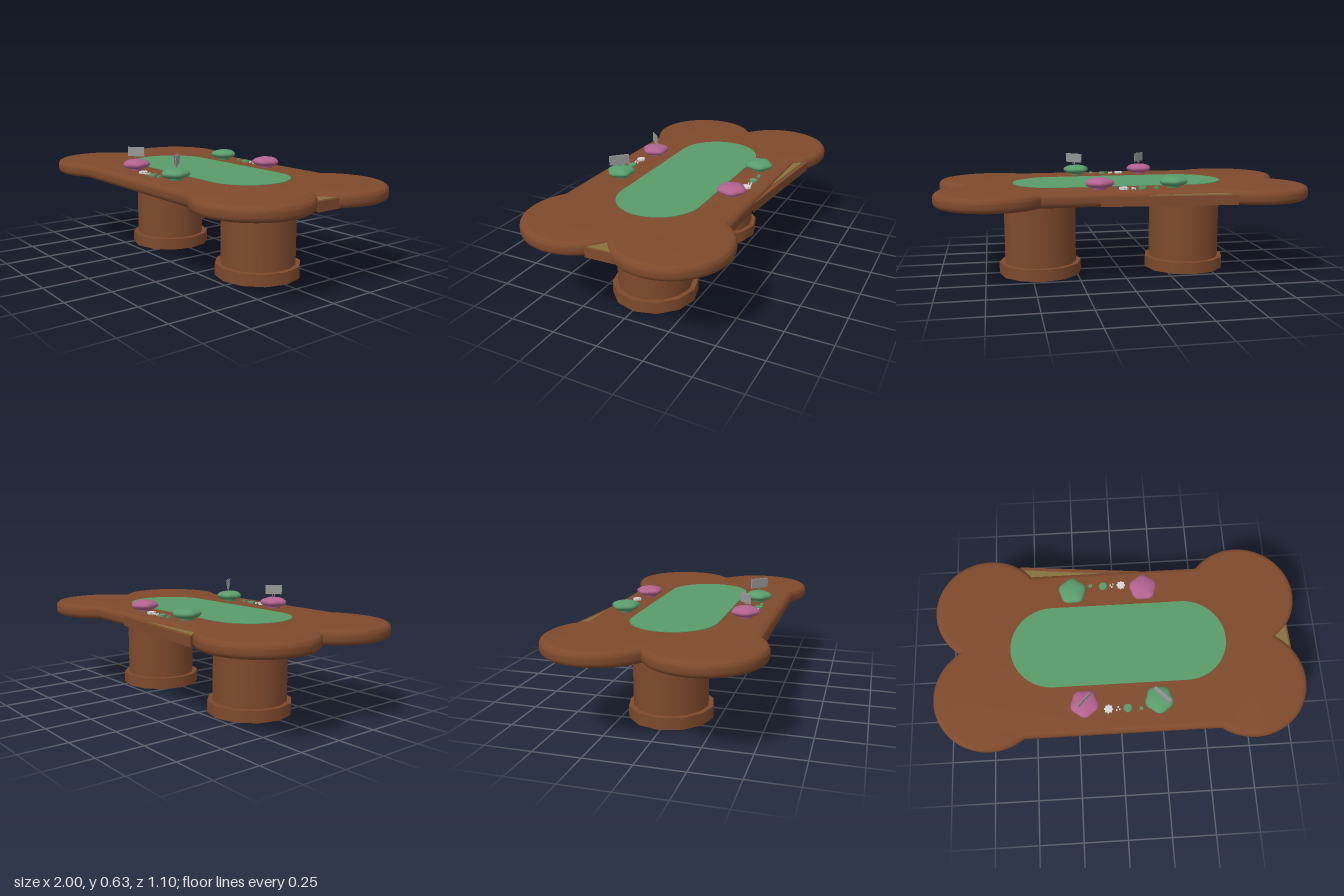
import * as THREE from 'three';
import { toCreasedNormals } from 'three/addons/utils/BufferGeometryUtils.js';

const mat = (name, color, side = THREE.FrontSide) => {
  const m = new THREE.MeshStandardMaterial({ color, side });
  m.name = name;
  return m;
};

export function createModel() {
  const wood = mat('wood', 0x7f4a2d);
  const green = mat('green', 0x5a9c6b);
  const pink = mat('pink', 0xb2628f);
  const white = mat('white', 0xd6d8d6);
  const grey = mat('grey', 0x9a9a9a, THREE.DoubleSide);
  const olive = mat('olive', 0x86713f);
  const model = new THREE.Group();
  model.name = 'boneTable';

  const add = (name, geometry, material, x = 0, y = 0, z = 0, parent = model) => {
    const mesh = new THREE.Mesh(geometry, material);
    mesh.name = name;
    mesh.position.set(x, y, z);
    parent.add(mesh);
    return mesh;
  };

  // Flat outline in x and z, extruded downward from y = 0
  const slab = (shape, depth, bevel = 0) => {
    const g = new THREE.ExtrudeGeometry(shape, {
      depth: depth - 2 * bevel, bevelEnabled: bevel > 0, bevelThickness: bevel,
      bevelSize: bevel, bevelOffset: -bevel, bevelSegments: 5, curveSegments: 24,
    });
    return toCreasedNormals(g.rotateX(Math.PI / 2).translate(0, -bevel, 0), 0.7);
  };

  // Bone-shaped top: four round lobes joined by a straight bar
  const outline = [];
  const lobe = (cx, cz, from, to, skipLast) => {
    const n = 36;
    for (let i = 0; i < n + (skipLast ? 0 : 1); i++) {
      const a = from + (to - from) * i / n;
      outline.push(new THREE.Vector2(cx + 0.3 * Math.cos(a), cz + 0.3 * Math.sin(a)));
    }
  };
  const notch = Math.acos(0.166 / 0.3);
  const frontBar = Math.asin(0.24 / 0.3), backBar = Math.asin(0.19 / 0.3);
  lobe(0.7, 0.25, -notch, Math.PI - frontBar, false);
  lobe(-0.7, 0.25, frontBar, Math.PI + notch, true);
  lobe(-0.7, -0.25, Math.PI - notch, 2 * Math.PI - backBar, false);
  lobe(0.7, -0.25, backBar - Math.PI, notch, true);
  add('tableTop', slab(new THREE.Shape(outline), 0.075, 0.028), wood, 0, 0.502);

  // Small webs bridging the back edge and the right-hand notch
  const polygon = (pts) => new THREE.Shape(pts.map(([x, z]) => new THREE.Vector2(x, z)));
  const backWeb = [[-0.53, -0.507], [0.17, -0.44], [-0.45, -0.42]];
  const endWeb = [[0.85, 0], [0.94, -0.085], [0.945, 0.07]];
  add('backWeb', slab(polygon(backWeb), 0.05), wood, 0, 0.48);
  add('endWeb', slab(polygon(endWeb), 0.05), wood, 0, 0.48);
  add('backWebInlay', slab(polygon([[-0.51, -0.485], [-0.08, -0.44], [-0.46, -0.43]]), 0.004), olive, 0, 0.484);
  add('endWebInlay', slab(polygon([[0.86, 0], [0.93, -0.06], [0.935, 0.06]]), 0.004), olive, 0, 0.484);

  // Felt playing area
  const felt = new THREE.Shape();
  felt.absarc(0.36, 0, 0.23, -Math.PI / 2, Math.PI / 2);
  felt.absarc(-0.355, 0, 0.23, Math.PI / 2, Math.PI * 1.5);
  add('felt', slab(felt, 0.004), green, 0, 0.505);

  // Pedestal legs
  for (const x of [-0.384, 0.447]) {
    const leg = new THREE.Group();
    leg.name = 'leg';
    leg.position.set(x, 0, -0.01);
    model.add(leg);
    add('column', new THREE.CylinderGeometry(0.2, 0.2, 0.38, 14), wood, 0, 0.25, 0, leg);
    add('foot', new THREE.CylinderGeometry(0.228, 0.228, 0.065, 12), wood, 0, 0.0325, 0, leg);
  }

  // Lobed puffs at the four seats: a flattened sphere with five soft bulges
  const puffGeometry = new THREE.SphereGeometry(1, 30, 14);
  const p = puffGeometry.attributes.position;
  for (let i = 0; i < p.count; i++) {
    const x = p.getX(i), z = p.getZ(i);
    const a = Math.atan2(z, x);
    const r = 0.073 * (1 + 0.06 * Math.cos(5 * (a - Math.PI / 2)));
    p.setXYZ(i, x * r, p.getY(i) * 0.028, z * r);
  }
  puffGeometry.computeVertexNormals();
  const puff = (material, x, z, turn) => {
    const g = new THREE.Group();
    g.name = 'puff';
    g.position.set(x, 0.535, z);
    g.rotation.y = turn;
    model.add(g);
    add('cushion', puffGeometry, material, 0, 0, 0, g);
    add('stem', new THREE.CylinderGeometry(0.045, 0.035, 0.03, 12), material, 0, -0.02, 0, g);
  };
  puff(green, -0.235, -0.312, Math.PI);
  puff(pink, 0.157, -0.312, Math.PI);
  puff(pink, -0.195, 0.338, 0);
  puff(green, 0.197, 0.338, 0);

  // Thin cards hovering over the front puffs, with small prongs below
  const cards = (x, z, turn, width, tilts) => {
    const g = new THREE.Group();
    g.name = 'cards';
    g.position.set(x, 0.605, z);
    g.rotation.y = turn;
    model.add(g);
    for (const t of tilts) {
      const card = add('card', new THREE.BoxGeometry(width, 0.052, 0.003), grey, 0, 0, t * 0.05, g);
      card.rotation.x = t;
    }
    for (const s of [-0.006, 0.006]) {
      const prong = add('prong', new THREE.ConeGeometry(0.005, 0.018, 6), grey, s, -0.034, 0, g);
      prong.rotation.x = Math.PI;
    }
  };
  cards(-0.193, 0.338, Math.PI / 4, 0.092, [0]);
  cards(0.21, 0.338, -Math.PI / 4, 0.11, [-0.08, 0.08]);

  // Notched white chip
  const gear = new THREE.Shape();
  for (let i = 0; i < 32; i++) {
    const r = i % 4 < 2 ? 0.024 : 0.019, a = i / 32 * Math.PI * 2;
    gear[i ? 'lineTo' : 'moveTo'](r * Math.cos(a), r * Math.sin(a));
  }
  const gearGeometry = slab(gear, 0.012);

  // Chips and crumbs between the seats, mirrored front to back
  for (const [s, cx, cz] of [[1, -0.02, 0.368], [-1, -0.015, -0.346]]) {
    add('whiteChip', gearGeometry, white, cx - s * 0.051, 0.514, cz);
    add('greenChip', new THREE.CylinderGeometry(0.022, 0.022, 0.01, 16), green, cx + s * 0.049, 0.507, cz);
    add('smallChip', new THREE.BoxGeometry(0.018, 0.012, 0.016), green, cx + s * 0.12, 0.507, cz + s * 0.006);
    for (const [dx, dz] of [[-0.008, 0.008], [0.008, 0.004], [0, -0.008]])
      add('crumb', new THREE.BoxGeometry(0.008, 0.01, 0.008), white, cx + s * dx, 0.506, cz + s * dz);
  }
  return model;
}
